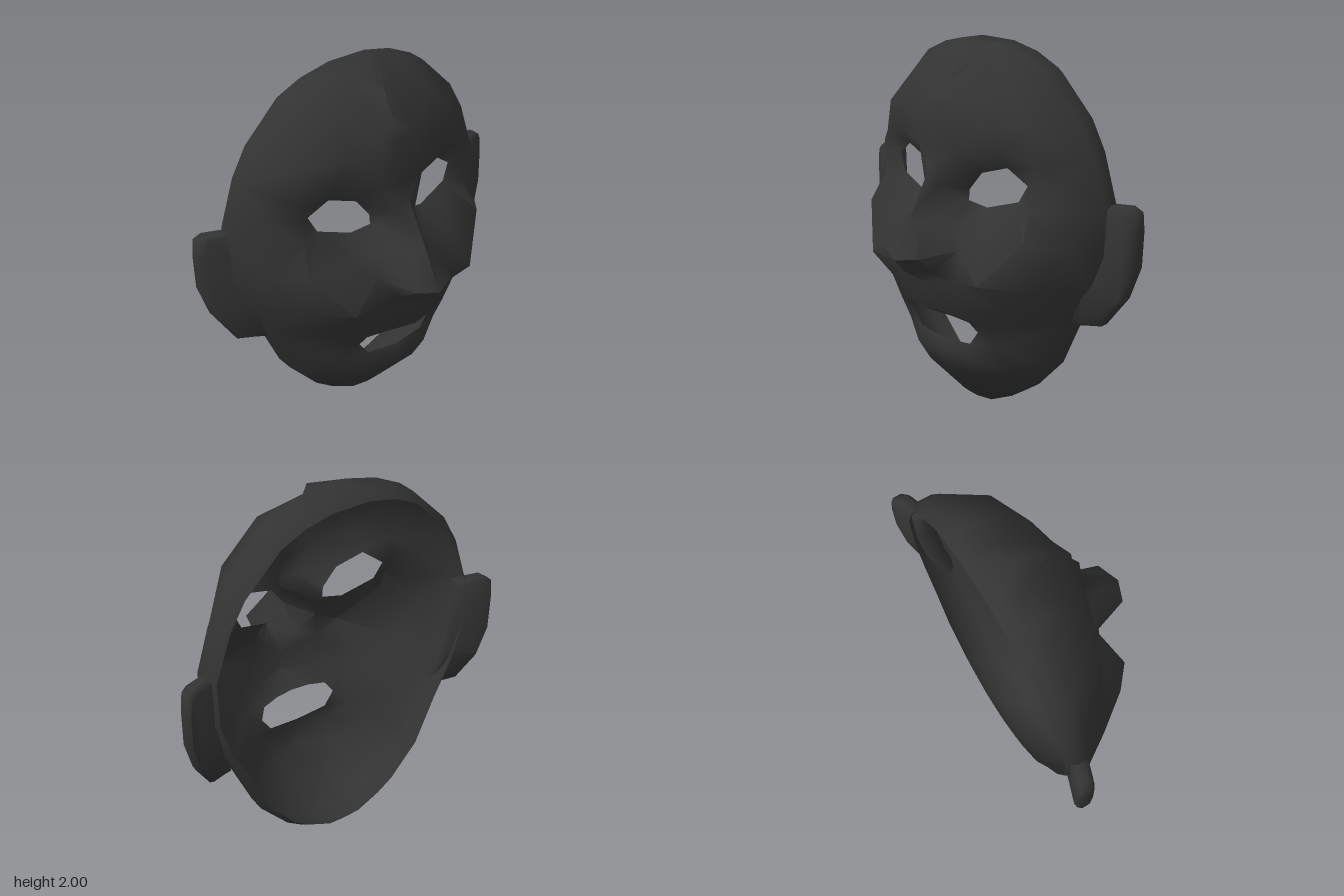
import * as THREE from 'three';
import { mergeVertices, toCreasedNormals } from 'three/addons/utils/BufferGeometryUtils.js';

const material = new THREE.MeshStandardMaterial({ color: 0x333333, side: THREE.DoubleSide });

// Half outline of the mask, from the crown down to the chin
const outline = [[0, 2], [0.11, 2], [0.27, 1.965], [0.41, 1.9], [0.62, 1.69], [0.71, 1.53], [0.795, 1.27],
  [0.785, 1], [0.72, 0.8], [0.62, 0.6], [0.5, 0.32], [0.335, 0.135], [0.24, 0.07], [0.1, 0.005], [0, 0]];
// Rings of the side wall: edge of the face, widest ring, and the rim that turns inwards
const rings = [
  outline.map(([x, y]) => [x * 0.995, y, -0.2 - 0.09 * x]),
  outline.map(([x, y]) => [x, y, -0.34]),
  outline.map(([x, y]) => [x * 0.955, 1 + (y - 1) * 0.96, -0.395]),
];

// Edges of the openings
const eye = [[0.12, 1.22, 0], [0.125, 1.28, 0], [0.2, 1.38, -0.01], [0.35, 1.43, -0.035],
  [0.455, 1.35, -0.07], [0.41, 1.26, -0.055], [0.23, 1.2, -0.02]];
const mouth = [[0, 0.6, 0.11], [0.1, 0.6, 0.1], [0.2, 0.585, 0.08], [0.235, 0.53, 0.05],
  [0.18, 0.45, 0.05], [0, 0.43, 0.06]];

// Sculpted points of the half face
const forehead = [[0, 1.93, -0.03], [0, 1.82, 0.02], [0, 1.78, 0.07], [0, 1.72, 0.11], [0, 1.66, 0.1],
  [0, 1.55, 0.16], [0, 1.49, 0.14], [0.1, 1.72, 0.07], [0.3, 1.85, -0.05], [0.27, 1.66, 0.05],
  [0.5, 1.64, -0.04], [0.64, 1.38, -0.12], [0.13, 1.5, 0.11], [0.36, 1.53, 0.03], [0.53, 1.46, -0.04], [0.53, 1.35, -0.05]];
const nose = [[0, 1.4, 0.17], [0, 1.18, 0.3], [0, 0.97, 0.42], [0, 0.89, 0.35], [0, 0.8, 0.21],
  [0.05, 1.32, 0.15], [0.05, 1.15, 0.28], [0.12, 0.99, 0.37], [0.14, 1.1, 0.13], [0.19, 1, 0.16], [0.1, 0.88, 0.23], [0.2, 0.84, 0.18]];
const cheek = [[0.38, 0.87, 0.22], [0.3, 1.1, 0.09], [0.55, 1.09, 0.07], [0.52, 1.24, -0.01],
  [0.42, 0.68, 0.04], [0.57, 0.82, -0.03], [0.68, 1.05, -0.11]];
const jaw = [[0, 0.67, 0.23], [0.17, 0.66, 0.18], [0.32, 0.59, 0.07], [0, 0.37, 0.09], [0.2, 0.36, 0.06],
  [0.31, 0.45, 0.01], [0, 0.28, 0.05], [0.16, 0.25, 0.01], [0.36, 0.3, -0.09], [0, 0.13, -0.08]];

const cross = (a, b, c) => (b[0] - a[0]) * (c[1] - a[1]) - (b[1] - a[1]) * (c[0] - a[0]);

function inside(poly, x, y) {
  let hit = false;
  poly.forEach(([ax, ay], i) => {
    const [bx, by] = poly[(i + 1) % poly.length];
    if ((ay > y) !== (by > y) && x < ax + ((bx - ax) * (y - ay)) / (by - ay)) hit = !hit;
  });
  return hit;
}

// Joins scattered points into well shaped triangles, seen from the front
function triangulate(points) {
  const far = [[-1000, -900], [1100, -850], [30, 1200]];
  const pts = [...points, ...far];
  const n = points.length;
  let tris = [[n, n + 1, n + 2]];
  const holds = (t, p) => {
    const [a, b, c] = t.map((i) => [pts[i][0] - p[0], pts[i][1] - p[1]]);
    const sq = (v) => v[0] * v[0] + v[1] * v[1];
    return sq(a) * (b[0] * c[1] - c[0] * b[1]) - sq(b) * (a[0] * c[1] - c[0] * a[1])
      + sq(c) * (a[0] * b[1] - b[0] * a[1]) > 1e-10;
  };
  points.forEach((p, i) => {
    const edges = new Map();
    tris = tris.filter((t) => {
      if (!holds(t, p)) return true;
      t.forEach((a, k) => {
        const b = t[(k + 1) % 3];
        if (!edges.delete(`${b},${a}`)) edges.set(`${a},${b}`, [a, b]);
      });
      return false;
    });
    edges.forEach(([a, b]) => tris.push([a, b, i]));
  });
  return tris.filter((t) => t.every((i) => i < n)).map((t) => t.map((i) => pts[i]))
    .filter((t) => cross(...t) > 1e-6);
}

function faceGeometry() {
  const half = triangulate([...rings[0], ...eye, ...mouth, ...forehead, ...nose, ...cheek, ...jaw])
    .filter((t) => {
      const x = (t[0][0] + t[1][0] + t[2][0]) / 3;
      const y = (t[0][1] + t[1][1] + t[2][1]) / 3;
      return !inside(eye, x, y) && !inside(mouth, x, y);
    });
  // Side wall running back from the face to the open rim
  for (let r = 0; r < rings.length - 1; r++) {
    const [front, back] = [rings[r], rings[r + 1]];
    for (let i = 0; i < outline.length - 1; i++) {
      half.push([front[i], front[i + 1], back[i + 1]], [front[i], back[i + 1], back[i]]);
    }
  }
  const mirrored = half.map(([a, b, c]) => [a, c, b].map(([x, y, z]) => [-x, y, z]));
  const geometry = new THREE.BufferGeometry();
  geometry.setAttribute('position', new THREE.Float32BufferAttribute([...half, ...mirrored].flat(2), 3));
  return toCreasedNormals(mergeVertices(geometry), 1.2);
}

// Ear: a thick bevelled slab that leans back towards its outer edge, with the lobe coming forward
function earGeometry() {
  const shape = new THREE.Shape([[0.75, 1.25], [0.88, 1.255], [0.91, 1.235], [0.918, 1.15], [0.915, 0.96],
    [0.865, 0.79], [0.775, 0.645], [0.69, 0.635], [0.65, 0.625], [0.7, 0.85], [0.74, 1.05]]
    .map(([x, y]) => new THREE.Vector2(x, y)));
  const geometry = new THREE.ExtrudeGeometry(shape, {
    depth: 0.045, bevelEnabled: true, bevelThickness: 0.025, bevelSize: 0.018, bevelSegments: 1,
  });
  const p = geometry.attributes.position;
  for (let i = 0; i < p.count; i++) {
    const lean = 0.33 * (p.getX(i) - 0.9) - 0.15 * Math.max(0, 0.8 - p.getY(i));
    p.setZ(i, p.getZ(i) - 0.39 - lean);
  }
  geometry.deleteAttribute('normal');
  geometry.deleteAttribute('uv');
  return toCreasedNormals(mergeVertices(geometry), 1.1);
}

export function createModel() {
  const model = new THREE.Group();
  model.name = 'mask';
  const add = (name, geometry, parent = model) => {
    const mesh = new THREE.Mesh(geometry, material);
    mesh.name = name;
    parent.add(mesh);
  };
  add('face', faceGeometry());
  add('leftEar', earGeometry());
  const mirror = new THREE.Group();
  mirror.name = 'rightEarSide';
  mirror.scale.x = -1;
  add('rightEar', earGeometry(), mirror);
  model.add(mirror);
  return model;
}
